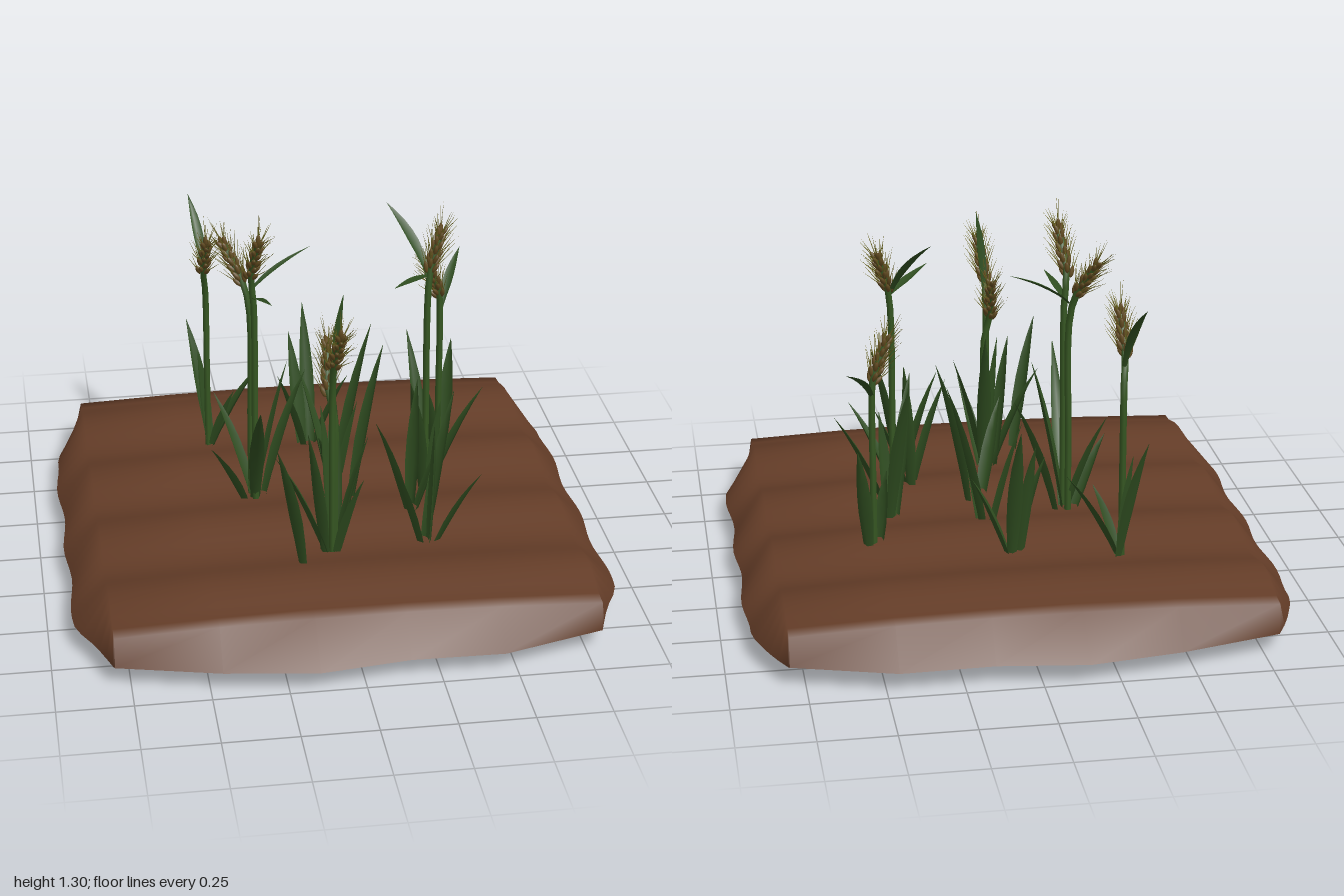
import * as THREE from 'three';
import { mergeGeometries } from 'three/addons/utils/BufferGeometryUtils.js';

const V = (x, y, z) => new THREE.Vector3(x, y, z);
const UP = V(0, 1, 0);

// Indexed surface from rows of equally many points
function surface(rows) {
  const n = rows[0].length, pos = [], idx = [];
  rows.forEach((row) => row.forEach((p) => pos.push(p.x, p.y, p.z)));
  for (let j = 0; j < rows.length - 1; j++) {
    for (let i = 0; i < n - 1; i++) {
      const a = j * n + i, b = a + 1, c = a + n, d = c + 1;
      idx.push(a, c, b, b, c, d);
    }
  }
  const g = new THREE.BufferGeometry();
  g.setAttribute('position', new THREE.Float32BufferAttribute(pos, 3));
  g.setIndex(idx);
  g.computeVertexNormals();
  return g;
}

// Ploughed ground: ridges across z, with a sloping skirt and an open underside
function soilGeometry() {
  const xs = [-0.8, -0.46, -0.15, 0.15, 0.46, 0.8];
  const rim = [0.872, 0.955, 0.998, 0.96, 0.966, 0.868];
  const N = 32, Z = 0.865, rows = [];
  const height = (x, z) => 0.206 + 0.02 * Math.cos((2 * Math.PI * (z - 0.21)) / 0.43) - 0.02 * (x / 0.8) ** 2;
  const edge = (s) => [V(-0.8, 0.065, s * 0.875), ...xs.map((x, i) => V(x, 0.062, s * rim[i])), V(0.8, 0.065, s * 0.875)];
  rows.push(edge(-1));
  for (let j = 0; j <= N; j++) {
    const z = -Z + (2 * Z * j) / N;
    const corner = Math.max(0, (Math.abs(z) - 0.62) / (Z - 0.62));
    const w = 0.912 + 0.008 * Math.cos((2 * Math.PI * (z - 0.07)) / 0.43) - 0.112 * corner;
    rows.push([V(-w, 0.062, z), ...xs.map((x) => V(x, height(x, z), z)), V(w, 0.062, z)]);
  }
  rows.push(edge(1));
  return surface(rows);
}

// Tapering leaf with a V fold, following a bent spine from start to tip
function bladeGeometry(start, tip, half, lift = 0.62) {
  const d = tip.clone().sub(start);
  const flat = V(d.x, 0, d.z).normalize();
  const side = V(-flat.z, 0, flat.x);
  const mid = V(start.x + d.x * 0.3, start.y + d.y * lift, start.z + d.z * 0.3);
  const spine = new THREE.QuadraticBezierCurve3(start, mid, tip);
  const widths = [0.5, 0.65, 0.85, 1, 0.95, 0.75, 0.42, 0.02];
  return surface(widths.map((k, i) => {
    const t = i / (widths.length - 1), p = spine.getPoint(t), w = half * k;
    const fold = flat.clone().multiplyScalar(w * 0.6).addScaledVector(UP, -w * 0.3);
    return [p.clone().addScaledVector(side, -w), p.clone().add(fold), p.clone().addScaledVector(side, w)];
  }));
}

// Slim solid moved to a point and turned along a direction
function aim(geometry, at, dir) {
  const q = new THREE.Quaternion().setFromUnitVectors(UP, dir.clone().normalize());
  return geometry.applyQuaternion(q).translate(at.x, at.y, at.z);
}

// Seed head: spiralled grains, each carrying long bristles
function headGeometries(from, to) {
  const axis = to.clone().sub(from), len = axis.length();
  axis.normalize();
  const u = V(0, 0, 1).cross(axis).normalize(), v = axis.clone().cross(u);
  const grains = [], awns = [];
  const count = 24;
  for (let i = 0; i < count; i++) {
    const t = i / (count - 1), a = i * 2.4;
    const out = u.clone().multiplyScalar(Math.cos(a)).addScaledVector(v, Math.sin(a));
    const r = 0.017 * (1 - 0.5 * t);
    const at = from.clone().addScaledVector(axis, len * 0.68 * t).addScaledVector(out, r);
    const dir = axis.clone().addScaledVector(out, 0.45);
    grains.push(aim(new THREE.SphereGeometry(1, 6, 5).scale(0.0085, 0.021, 0.0085), at, dir));
    for (const k of [0.35, 0.6]) {
      const aDir = axis.clone().addScaledVector(out, k).normalize();
      const aLen = 0.085 + 0.02 * Math.sin(i * 1.7);
      awns.push(aim(new THREE.ConeGeometry(0.0024, aLen, 3).translate(0, aLen / 2, 0), at, aDir));
    }
  }
  return [mergeGeometries(grains), mergeGeometries(awns)];
}

export function createModel() {
  const model = new THREE.Group();
  const material = (name, color, side = THREE.FrontSide) => {
    const m = new THREE.MeshStandardMaterial({ color, side });
    m.name = name;
    return m;
  };
  const soil = material('soil brown', 0x633c27, THREE.DoubleSide);
  const leaf = material('leaf green', 0x2f4d20, THREE.DoubleSide);
  const stalk = material('stalk green', 0x365722);
  const grain = material('grain brown', 0x60491f);
  const bristle = material('bristle olive', 0x6a6420);
  const add = (parent, name, geometry, mat) => {
    const mesh = new THREE.Mesh(geometry, mat);
    mesh.name = name;
    parent.add(mesh);
  };

  add(model, 'soil', soilGeometry(), soil);

  // Stalks: base x, z, then head start and head tip
  const stalks = [
    [-0.36, -0.43, [-0.37, 0.89, -0.39], [-0.36, 1.08, -0.29]],
    [0.46, -0.27, [0.455, 0.8, -0.27], [0.38, 1.0, -0.24]],
    [-0.24, 0.02, [-0.25, 1.04, 0.03], [-0.22, 1.26, 0.14]],
    [-0.25, -0.03, [-0.27, 0.99, -0.05], [-0.36, 1.17, -0.14]],
    [0.36, 0.02, [0.37, 1.02, 0.01], [0.43, 1.21, -0.03]],
    [-0.03, 0.43, [-0.03, 0.89, 0.46], [-0.01, 1.09, 0.57]],
    [-0.02, 0.41, [-0.04, 0.77, 0.4], [-0.03, 0.99, 0.29]],
  ];
  for (const [x, z, a, b] of stalks) {
    const plant = new THREE.Group();
    plant.name = 'cerealPlant';
    const from = V(...a), to = V(...b);
    const path = new THREE.CatmullRomCurve3([
      V(x, 0.12, z), V(x, 0.45, z), V(x, a[1] - 0.1, z), from, from.clone().lerp(to, 0.6)]);
    add(plant, 'stalk', new THREE.TubeGeometry(path, 16, 0.012, 6), stalk);
    const [grains, awns] = headGeometries(from, to);
    add(plant, 'grains', grains, grain);
    add(plant, 'bristles', awns, bristle);
    model.add(plant);
  }

  // Upper leaves on the stalks: start, tip, half width
  const upper = [
    [[-0.36, 0.86, -0.43], [-0.4, 1.1, -0.59], 0.018],
    [[0.46, 0.74, -0.27], [0.565, 0.89, -0.47], 0.018],
    [[-0.25, 0.95, -0.03], [-0.03, 1.08, -0.1], 0.014],
    [[-0.24, 0.95, 0.02], [-0.2, 1.0, 0.2], 0.014],
    [[0.36, 1.0, 0.02], [0.21, 1.04, 0.21], 0.018],
    [[0.36, 1.0, 0.02], [0.24, 1.21, -0.14], 0.022],
    [[-0.03, 0.8, 0.43], [0.0, 1.14, 0.46], 0.022],
  ];
  for (const [a, b, w] of upper) add(model, 'upperLeaf', bladeGeometry(V(...a), V(...b), w), leaf);

  // Leaf clumps: base x, z, root depth, then tips as x, height, z
  const clumps = [
    [-0.36, -0.43, 0.12, [[-0.42, 0.63, -0.56], [-0.17, 0.48, -0.44], [-0.27, 0.42, -0.37], [-0.39, 0.55, -0.46]]],
    [-0.01, -0.36, 0.1, [[0, 0.68, -0.53], [-0.06, 0.6, -0.46], [0.14, 0.46, -0.355], [-0.12, 0.5, -0.3]]],
    [0.05, -0.11, 0, [[-0.06, 0.58, -0.185], [0.2, 0.73, -0.2], [0.13, 0.5, -0.06]]],
    [0.06, 0.09, 0.1, [[0.21, 0.74, 0.0], [-0.05, 0.52, 0.24]]],
    [-0.24, -0.01, 0.1, [[-0.05, 0.62, -0.09], [-0.13, 0.72, 0.04], [-0.26, 0.68, 0.36], [-0.37, 0.55, -0.1], [-0.4, 0.42, 0.08]]],
    [0.46, -0.27, 0.12, [[0.52, 0.58, -0.36], [0.41, 0.45, -0.22]]],
    [0.36, 0.02, 0.1, [[0.32, 0.72, -0.16], [0.56, 0.56, 0.015], [0.28, 0.66, 0.16], [0.4, 0.55, 0.08]]],
    [0.27, 0.22, 0.1, [[0.14, 0.58, 0.28], [0.4, 0.5, 0.23], [0.3, 0.68, 0.17]]],
    [0.29, 0.39, 0.05, [[0.15, 0.55, 0.44], [0.4, 0.7, 0.31], [0.47, 0.45, 0.455], [0.32, 0.62, 0.4]]],
    [-0.03, 0.42, 0.06, [[-0.22, 0.55, 0.43], [0.09, 0.6, 0.42], [0.06, 0.5, 0.53], [0, 0.74, 0.24], [-0.12, 0.66, 0.49], [-0.06, 0.7, 0.36]]],
    [-0.15, 0.52, 0.12, [[-0.24, 0.68, 0.635]]],
  ];
  clumps.forEach(([x, z, root, tips]) => {
    const clump = new THREE.Group();
    clump.name = 'leafClump';
    tips.forEach(([tx, ty, tz], i) => {
      // Spread the roots slightly so the blades do not share one point
      const a = i * 2.4, start = V(x + 0.015 * Math.cos(a), root, z + 0.015 * Math.sin(a));
      add(clump, 'leafBlade', bladeGeometry(start, V(tx, ty, tz), 0.026, 0.58), leaf);
    });
    model.add(clump);
  });

  return model;
}
